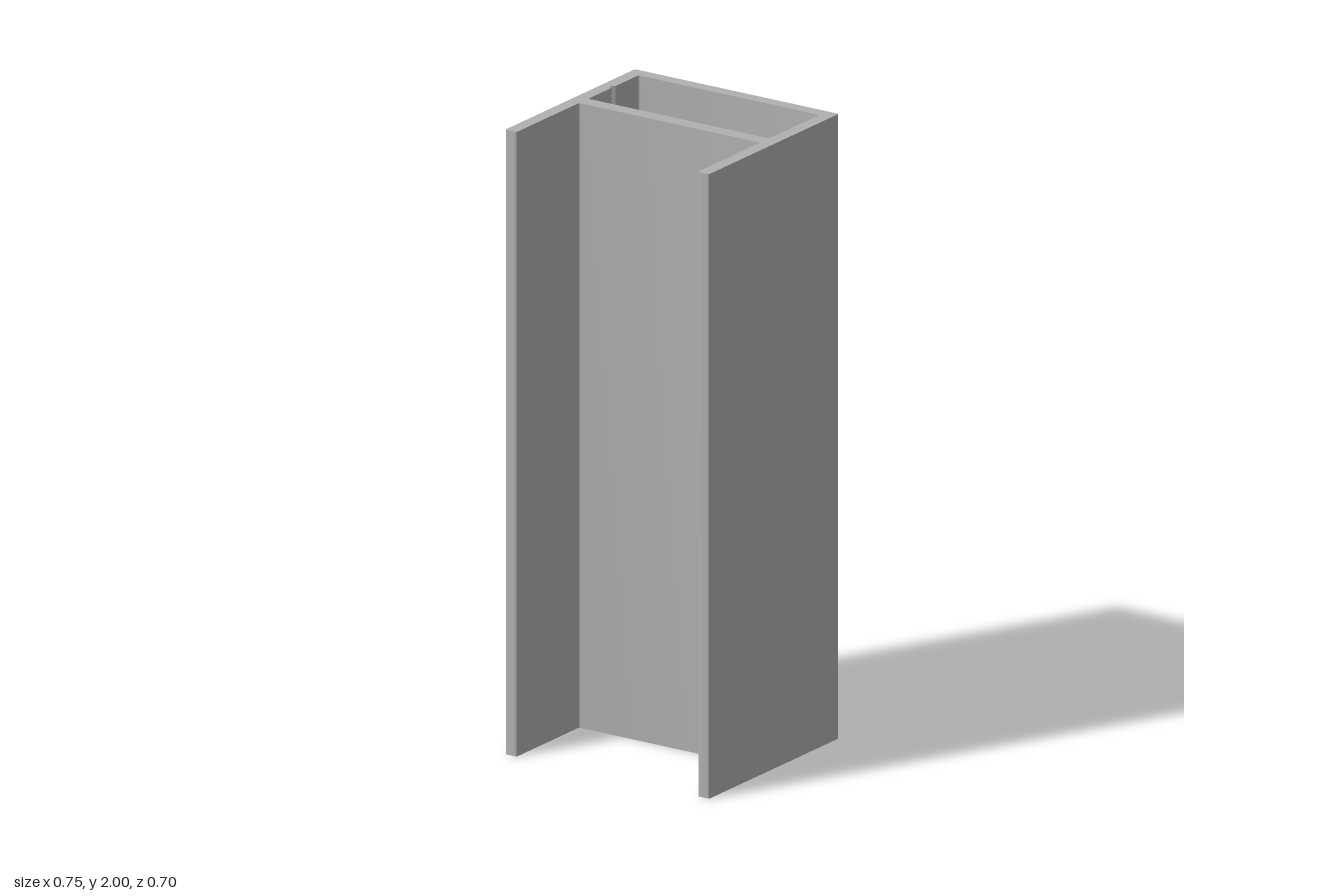
import * as THREE from 'three';
import { toCreasedNormals } from 'three/addons/utils/BufferGeometryUtils.js';

const HEIGHT = 2;
const OUT = 0.375, IN = 0.333; // outer and inner faces of the side walls
const BACK = -0.348, FRONT = 0.348, BACK_IN = -0.306; // z of the flanges and back wall
const WEB_BACK = -0.036, WEB_FRONT = 0.013; // z of the cross web
const R = 0.008; // corner radius

// Traces a closed outline of [x, z, radius] corners, rounding each by its radius.
function roundedOutline(path, corners) {
  const pts = corners.map(([x, z]) => new THREE.Vector2(x, -z));
  const n = pts.length;
  corners.forEach(([, , r = R], i) => {
    const p = pts[i];
    const toward = (q) => q.clone().sub(p).setLength(r).add(p);
    const a = r ? toward(pts[(i + n - 1) % n]) : p;
    const b = r ? toward(pts[(i + 1) % n]) : p;
    if (i === 0) path.moveTo(a.x, a.y);
    else path.lineTo(a.x, a.y);
    if (r) path.quadraticCurveTo(p.x, p.y, b.x, b.y);
  });
  path.closePath();
  return path;
}

export function createModel() {
  const group = new THREE.Group();
  group.name = 'extrudedProfile';
  const aluminium = new THREE.MeshStandardMaterial({ color: 0xb0b0b0 });
  aluminium.name = 'plain grey';

  // Outer outline: closed box at the back, two open flanges at the front
  const section = roundedOutline(new THREE.Shape(), [
    [-OUT, BACK], [-OUT, FRONT], [-IN, FRONT], [-IN, WEB_FRONT],
    [IN, WEB_FRONT], [IN, FRONT], [OUT, FRONT], [OUT, BACK],
  ]);

  // Hollow chamber with a small V groove in its right wall
  section.holes.push(roundedOutline(new THREE.Path(), [
    [-IN, BACK_IN], [IN, BACK_IN], [IN, WEB_BACK], [-IN, WEB_BACK],
    [-IN, -0.161, 0], [-0.345, -0.172, 0], [-IN, -0.183, 0],
  ]));

  const geometry = new THREE.ExtrudeGeometry(section, {
    depth: HEIGHT, bevelEnabled: false, curveSegments: 5,
  });
  geometry.rotateX(-Math.PI / 2); // stand the section upright

  const profile = new THREE.Mesh(toCreasedNormals(geometry, 0.6), aluminium);
  profile.name = 'profileBar';
  group.add(profile);
  return group;
}
